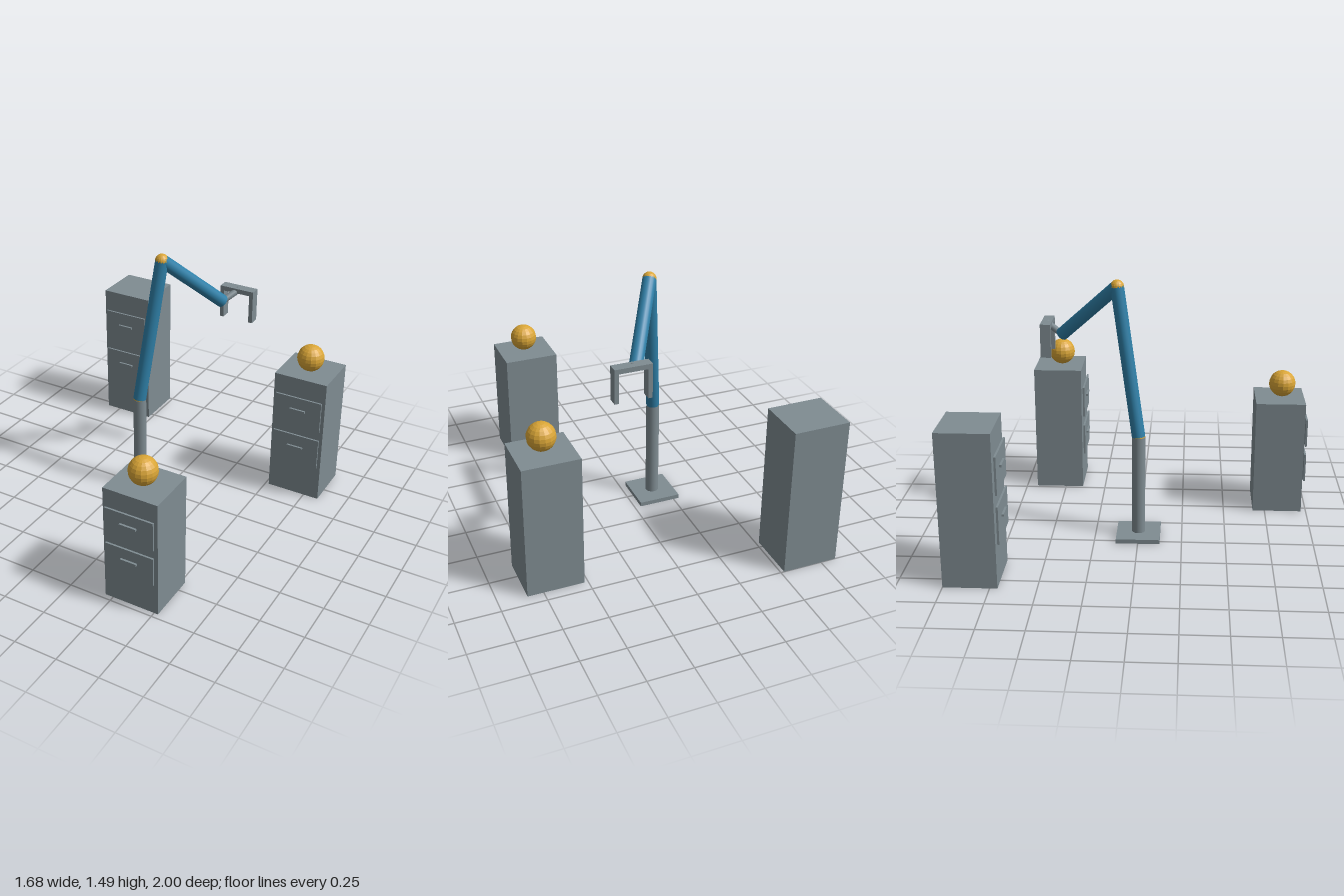
import * as THREE from 'three';

const paint = (name, color, flatShading = false) => {
  const m = new THREE.MeshStandardMaterial({ color, flatShading });
  m.name = name;
  return m;
};

export function createModel() {
  const grey = paint('steelGrey', 0x7f8c92);
  const blue = paint('armBlue', 0x2f80a8);
  const gold = paint('gold', 0xd9a536, true);

  const model = new THREE.Group();
  model.name = 'robotArmStation';

  const add = (parent, name, geometry, material, x, y, z) => {
    const mesh = new THREE.Mesh(geometry, material);
    mesh.name = name;
    mesh.position.set(x, y, z);
    parent.add(mesh);
    return mesh;
  };
  const box = (parent, name, w, h, d, x, y, z) =>
    add(parent, name, new THREE.BoxGeometry(w, h, d), grey, x, y, z);
  const ball = (parent, name, r, x, y, z) =>
    add(parent, name, new THREE.SphereGeometry(r, 16, 12), gold, x, y, z);

  // Cylinder spanning two points
  const rod = (parent, name, a, b, r, material) => {
    const dir = b.clone().sub(a);
    const mid = a.clone().add(b).multiplyScalar(0.5);
    const mesh = add(parent, name, new THREE.CylinderGeometry(r, r, dir.length(), 20),
      material, mid.x, mid.y, mid.z);
    mesh.quaternion.setFromUnitVectors(new THREE.Vector3(0, 1, 0), dir.normalize());
  };

  // Two-drawer cabinet; z is the plane of its front face
  const cabinet = (name, x, height, z, hasBall) => {
    const group = new THREE.Group();
    group.name = name;
    group.position.set(x, 0, z);
    model.add(group);
    box(group, 'cabinetBody', 0.32, height, 0.292, 0, height / 2, -0.146);
    for (const level of [0.726, 0.405]) {
      box(group, 'drawerFront', 0.285, height * 0.246, 0.011, 0, height * level, 0.0125);
      box(group, 'drawerHandle', 0.096, 0.013, 0.012, 0, height * (level + 0.022), 0.024);
    }
    if (hasBall) ball(group, 'ball', 0.079, 0.001, height + 0.08, -0.132);
  };
  cabinet('backLeftCabinet', 0.68, 0.777, -0.392, true);
  cabinet('backRightCabinet', -0.68, 0.867, -0.708, false);
  cabinet('frontCabinet', 0.363, 0.687, 0.97, true);

  // Arm: base, post, two links with ball joints, wrist
  const arm = new THREE.Group();
  arm.name = 'robotArm';
  model.add(arm);
  const foot = new THREE.Vector3(-0.16, 0.02, 0);
  const shoulder = new THREE.Vector3(-0.16, 0.607, 0);
  const elbow = new THREE.Vector3(-0.079, 1.45, -0.121);
  const wrist = new THREE.Vector3(0.135, 1.118, -0.456);
  const grip = new THREE.Vector3(0.195, 1.17, -0.547);
  box(arm, 'basePlate', 0.246, 0.025, 0.25, -0.16, 0.0125, 0);
  rod(arm, 'post', foot, shoulder, 0.038, grey);
  ball(arm, 'shoulderJoint', 0.038, ...shoulder);
  rod(arm, 'upperArm', shoulder, elbow, 0.038, blue);
  ball(arm, 'elbowJoint', 0.0385, ...elbow);
  rod(arm, 'forearm', elbow, wrist, 0.038, blue);
  rod(arm, 'wristRod', wrist, grip, 0.019, grey);

  // Gripper: crossbar and two fingers
  const gripper = new THREE.Group();
  gripper.name = 'gripper';
  gripper.position.copy(grip);
  arm.add(gripper);
  box(gripper, 'crossbar', 0.21, 0.028, 0.06, 0, 0, 0);
  for (const side of [-1, 1]) {
    box(gripper, 'finger', 0.024, 0.168, 0.06, side * 0.093, -0.098, 0);
  }

  return model;
}
